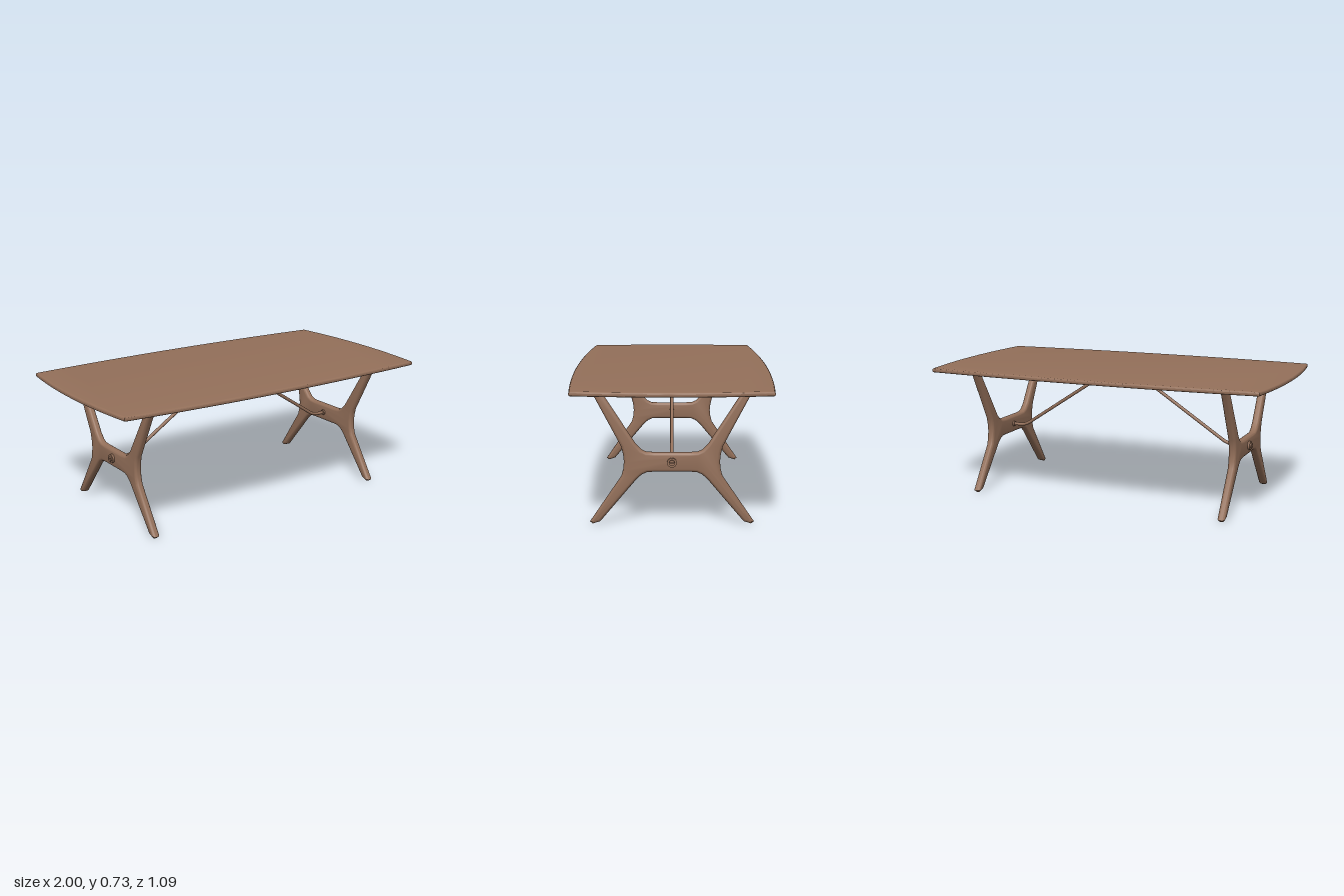
import * as THREE from 'three';
import { toCreasedNormals } from 'three/addons/utils/BufferGeometryUtils.js';

const wood = new THREE.MeshStandardMaterial({ color: 0x94705a });
wood.name = 'walnut wood';

function add(parent, name, geometry, x = 0, y = 0, z = 0) {
  const mesh = new THREE.Mesh(geometry, wood);
  mesh.name = name;
  mesh.position.set(x, y, z);
  parent.add(mesh);
  return mesh;
}

// Extrusion of the given total thickness, centred on its depth, with bevels kept inside the outline
function slab(shape, thickness, bevelThickness, bevelSize, bevelSegments, curveSegments) {
  const g = new THREE.ExtrudeGeometry(shape, {
    depth: thickness - 2 * bevelThickness, bevelEnabled: true,
    bevelThickness, bevelSize, bevelOffset: -bevelSize, bevelSegments, curveSegments,
  });
  g.translate(0, 0, bevelThickness - thickness / 2);
  return toCreasedNormals(g, 0.6);
}

// Boat-shaped top with four bowed sides
function topGeometry() {
  const x = 0.962, z = 0.508;
  const s = new THREE.Shape();
  s.moveTo(-x, -z);
  s.quadraticCurveTo(0, -0.586, x, -z);
  s.quadraticCurveTo(1.038, 0, x, z);
  s.quadraticCurveTo(0, 0.586, -x, z);
  s.quadraticCurveTo(-1.038, 0, -x, -z);
  return slab(s, 0.025, 0.009, 0.013, 3, 16).rotateX(-Math.PI / 2);
}

// Trestle outline: two splayed legs joined by a crossbar, mirrored across z = 0
function trestleGeometry() {
  const half = [
    [0.09, 0.282], [0.128, 0.28], [0.155, 0.268], [0.183, 0.243],
    [0.373, 0.017], [0.412, 0.004], [0.427, 0.015],
    [0.262, 0.258], [0.252, 0.295], [0.248, 0.335], [0.252, 0.375], [0.262, 0.415],
    [0.417, 0.711], [0.368, 0.711],
    [0.187, 0.428], [0.158, 0.398], [0.132, 0.386], [0.09, 0.384],
  ];
  const mirrored = half.map(([z, y]) => [-z, y]).reverse();
  const s = new THREE.Shape([...half, ...mirrored].map(([z, y]) => new THREE.Vector2(z, y)));
  return slab(s, 0.042, 0.016, 0.016, 4, 4).rotateY(Math.PI / 2);
}

// Brace rod bent from the crossbar up to the middle of the top
function rodGeometry(side) {
  const p = (x, y) => new THREE.Vector3(side * x, y, 0);
  const path = new THREE.CurvePath();
  path.add(new THREE.LineCurve3(p(0.74, 0.334), p(0.675, 0.334)));
  path.add(new THREE.QuadraticBezierCurve3(p(0.675, 0.334), p(0.642, 0.334), p(0.61, 0.355)));
  path.add(new THREE.LineCurve3(p(0.61, 0.355), p(0.1, 0.69)));
  path.add(new THREE.QuadraticBezierCurve3(p(0.1, 0.69), p(0.08, 0.704), p(0.035, 0.706)));
  return new THREE.TubeGeometry(path, 60, 0.0095, 12);
}

// Half of a slotted bolt head, facing +x
function boltHalfGeometry() {
  const s = new THREE.Shape();
  s.absarc(0, 0, 0.015, 0.13, Math.PI - 0.13, false);
  return new THREE.ExtrudeGeometry(s, { depth: 0.008, bevelEnabled: false, curveSegments: 14 })
    .rotateY(Math.PI / 2);
}

export function createModel() {
  const model = new THREE.Group();
  model.name = 'diningTable';
  add(model, 'tableTop', topGeometry(), 0, 0.7225, 0);

  for (const side of [-1, 1]) {
    const end = new THREE.Group();
    end.name = side > 0 ? 'leftTrestle' : 'rightTrestle';
    model.add(end);
    add(end, 'trestleLegs', trestleGeometry(), side * 0.745, 0, 0);

    // Mounting pads under the top
    for (const z of [-0.39, 0.39]) {
      add(end, 'legPad', new THREE.BoxGeometry(0.09, 0.006, 0.045), side * 0.745, 0.708, z);
    }

    // Brace rod with its end plate and collar
    add(end, 'braceRod', rodGeometry(side));
    add(end, 'bracePlate', new THREE.BoxGeometry(0.045, 0.006, 0.024), side * 0.052, 0.708, 0);
    const collar = new THREE.CylinderGeometry(0.016, 0.016, 0.012, 20).rotateZ(Math.PI / 2);
    add(end, 'rodCollar', collar, side * 0.72, 0.334, 0);

    // Slotted bolt on the outer face
    const bolt = new THREE.Group();
    bolt.name = 'bolt';
    bolt.position.set(side * 0.765, 0.334, 0);
    bolt.rotation.y = side > 0 ? 0 : Math.PI;
    end.add(bolt);
    add(bolt, 'washer', new THREE.CylinderGeometry(0.025, 0.025, 0.014, 28).rotateZ(Math.PI / 2), 0.005, 0, 0);
    for (const turn of [0, Math.PI]) {
      add(bolt, 'boltHead', boltHalfGeometry(), 0.012, 0, 0).rotation.x = turn;
    }
  }
  return model;
}
